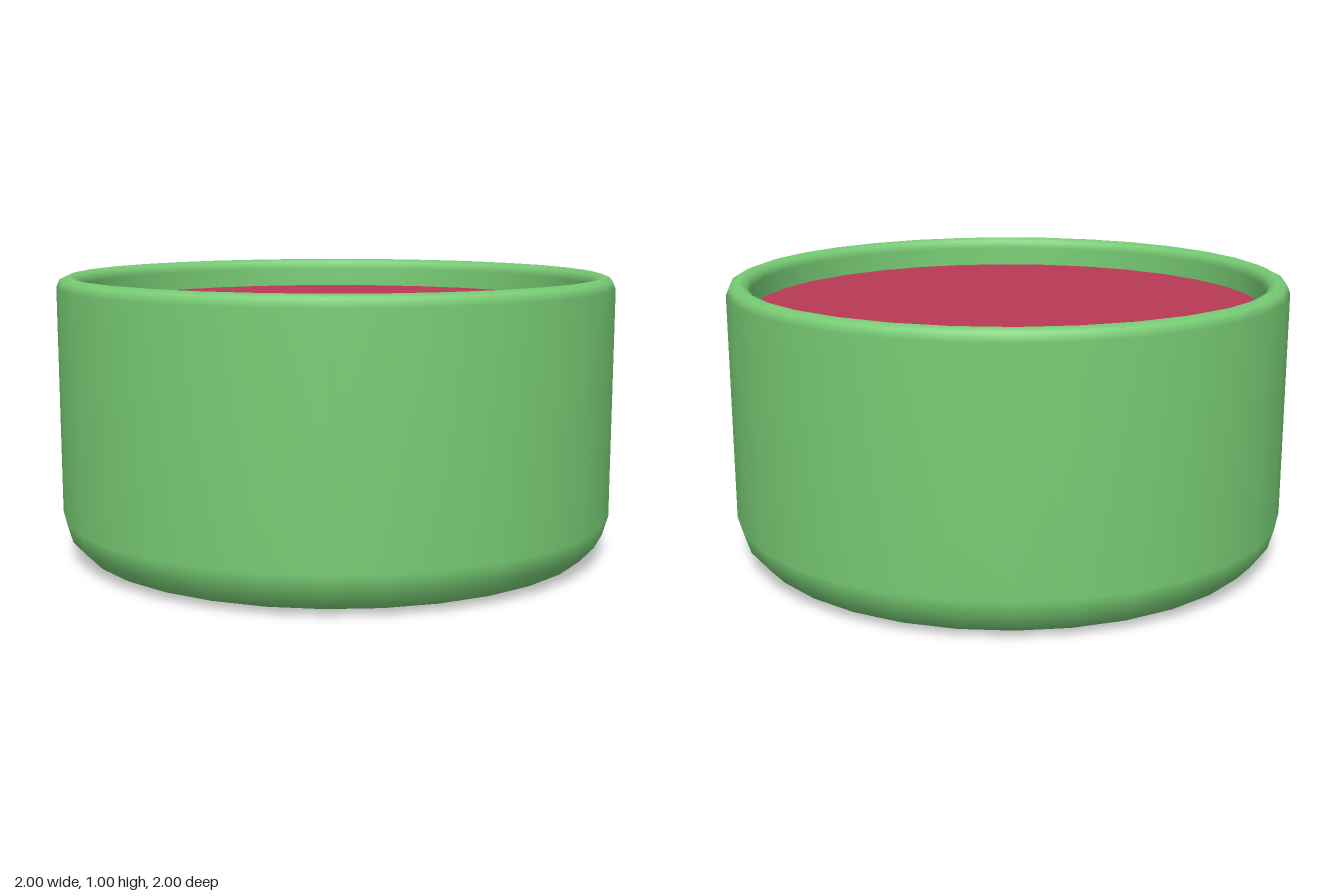
import * as THREE from 'three';

const SEGMENTS = 32;

export function createModel() {
  const model = new THREE.Group();
  model.name = 'filledBowl';

  // Bowl: one closed profile from the underside, over the rim, to the inner floor
  const profile = [
    [0, 0], [0.85, 0], [0.93, 0.025], [0.98, 0.08], [1, 0.15],
    [1, 0.96], [0.988, 0.988], [0.96, 1], [0.932, 0.988], [0.92, 0.96],
    [0.92, 0.18], [0.84, 0.08], [0, 0.08],
  ].map(([r, y]) => new THREE.Vector2(r, y));
  const bowl = new THREE.Mesh(
    new THREE.LatheGeometry(profile, SEGMENTS),
    new THREE.MeshStandardMaterial({ color: 0x78cc75 })
  );
  bowl.name = 'bowl';
  model.add(bowl);

  // Filling: flat disc just below the rim
  const filling = new THREE.Mesh(
    new THREE.CircleGeometry(0.92, SEGMENTS).rotateX(-Math.PI / 2),
    new THREE.MeshStandardMaterial({ color: 0xb83a55, side: THREE.DoubleSide })
  );
  filling.name = 'filling';
  filling.position.y = 0.89;
  model.add(filling);

  return model;
}
